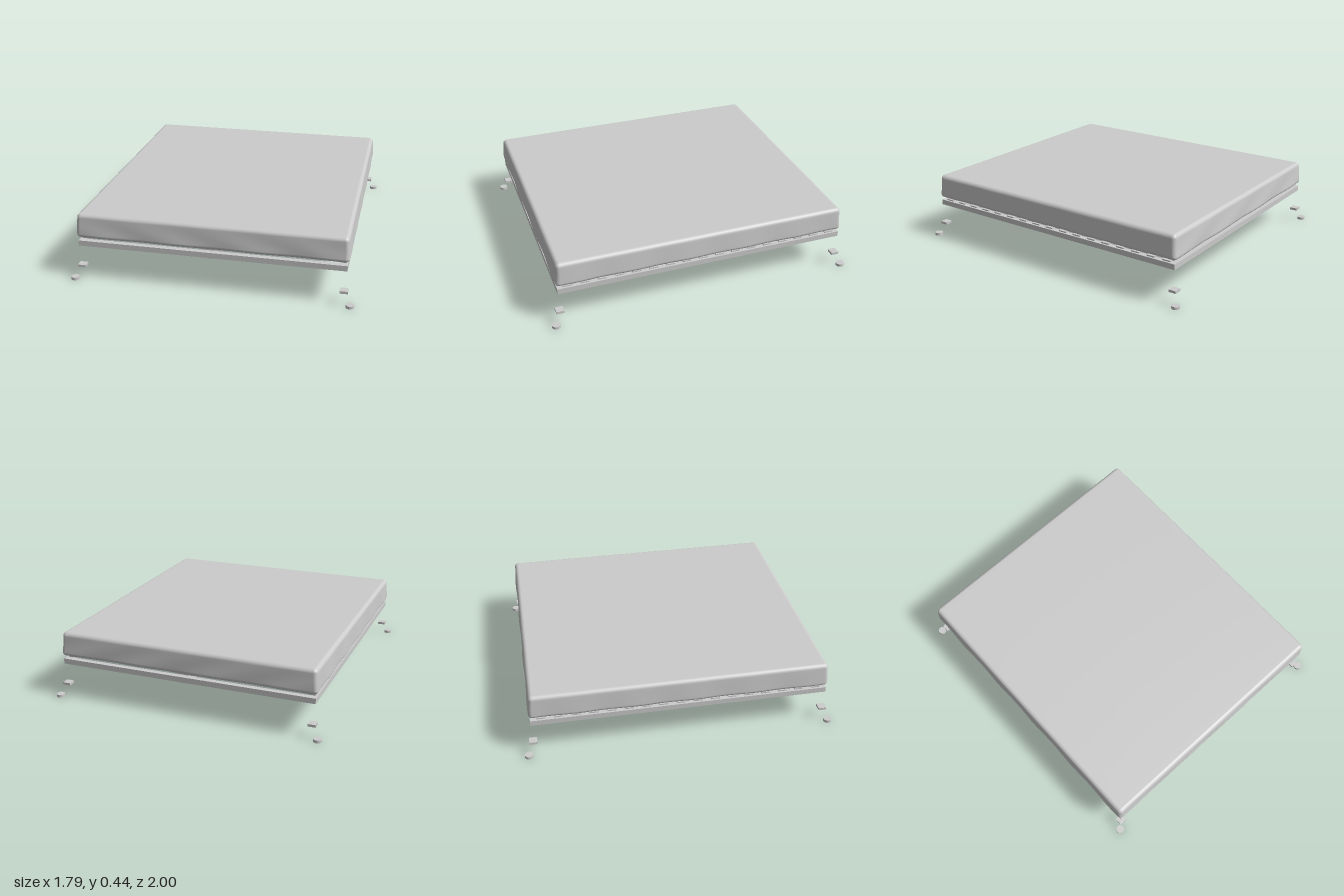
import * as THREE from 'three';
import { mergeVertices } from 'three/addons/utils/BufferGeometryUtils.js';

const grey = new THREE.MeshStandardMaterial({ color: 0xcccccc });

function add(parent, name, geometry, x = 0, y = 0, z = 0) {
  const mesh = new THREE.Mesh(geometry, grey);
  mesh.name = name;
  mesh.position.set(x, y, z);
  parent.add(mesh);
  return mesh;
}

// Soft block: rounded edges with dense rows near them, slightly wavy flanks
function mattressGeometry(hx, hy, hz, r) {
  const nx = 48, ny = 14, nz = 48, edge = 4;
  let g = new THREE.BoxGeometry(2, 2, 2, nx, ny, nz);
  g.deleteAttribute('uv');
  g.deleteAttribute('normal');
  g = mergeVertices(g);
  const p = g.attributes.position;
  // moves a grid coordinate so that the first rows fall inside the rounded edge
  const remap = (t, n, h) => {
    const limit = 1 - (2 * edge) / n, a = Math.abs(t);
    const s = a <= limit
      ? (a / limit) * (h - r)
      : h - r + r * Math.tan(((a - limit) / (1 - limit)) * Math.PI / 4);
    return Math.sign(t) * s;
  };
  const v = new THREE.Vector3(), core = new THREE.Vector3();
  for (let i = 0; i < p.count; i++) {
    v.set(remap(p.getX(i), nx, hx), remap(p.getY(i), ny, hy), remap(p.getZ(i), nz, hz));
    core.set(
      THREE.MathUtils.clamp(v.x, r - hx, hx - r),
      THREE.MathUtils.clamp(v.y, r - hy, hy - r),
      THREE.MathUtils.clamp(v.z, r - hz, hz - r));
    v.sub(core).setLength(r).add(core);
    // flanks spread a little toward the bottom and ripple gently
    const low = (hy - v.y) / (2 * hy);
    const swell = 0.01 * low, ripple = 0.003 * low;
    v.x += (v.x / hx) * (swell + ripple * Math.sin(v.z * 17));
    v.z += (v.z / hz) * (swell + ripple * Math.sin(v.x * 13 + v.y * 30));
    p.setXYZ(i, v.x, v.y, v.z);
  }
  g.computeVertexNormals();
  return g;
}

// Sprung slat: two shallow arches meeting over the middle beam
function slatGeometry(halfLength, thickness, width) {
  const g = new THREE.BoxGeometry(2 * halfLength, thickness, width, 32, 1, 1);
  const p = g.attributes.position;
  for (let i = 0; i < p.count; i++) {
    const t = Math.abs(p.getX(i)) / halfLength;
    p.setY(i, p.getY(i) + 0.02 * Math.sin(Math.PI * t));
  }
  g.computeVertexNormals();
  return g;
}

export function createModel() {
  const model = new THREE.Group();
  model.name = 'bed';

  add(model, 'mattress', mattressGeometry(0.845, 0.079, 0.945, 0.025), 0, 0.357, 0);

  // Rectangular base with a middle beam
  const base = new THREE.Group();
  base.name = 'slattedBase';
  model.add(base);
  const rail = 0.035, hx = 0.843, hz = 0.946, railY = 0.24;
  for (const s of [-1, 1]) {
    add(base, 'sideRail', new THREE.BoxGeometry(rail, rail, 2 * hz), s * (hx - rail / 2), railY, 0);
    add(base, 'endRail', new THREE.BoxGeometry(2 * (hx - rail), rail, rail), 0, railY, s * (hz - rail / 2));
  }
  add(base, 'middleBeam', new THREE.BoxGeometry(0.06, 0.034, 2 * (hz - 0.002)), 0, 0.237, 0);

  // Evenly spaced slats
  const slat = slatGeometry(0.83, 0.009, 0.055);
  for (let i = -8; i <= 8; i++) add(base, 'slat', slat, 0, 0.261, i * 0.11);

  // Corner pads and round feet below them
  const pad = new THREE.BoxGeometry(0.05, 0.016, 0.05);
  const foot = new THREE.CylinderGeometry(0.026, 0.026, 0.018, 32);
  for (const x of [-1, 1]) {
    for (const z of [-1, 1]) {
      add(model, 'cornerPad', pad, x * 0.828, 0.088, z * 0.938);
      add(model, 'foot', foot, x * 0.87, 0.009, z * 0.974);
    }
  }
  return model;
}
